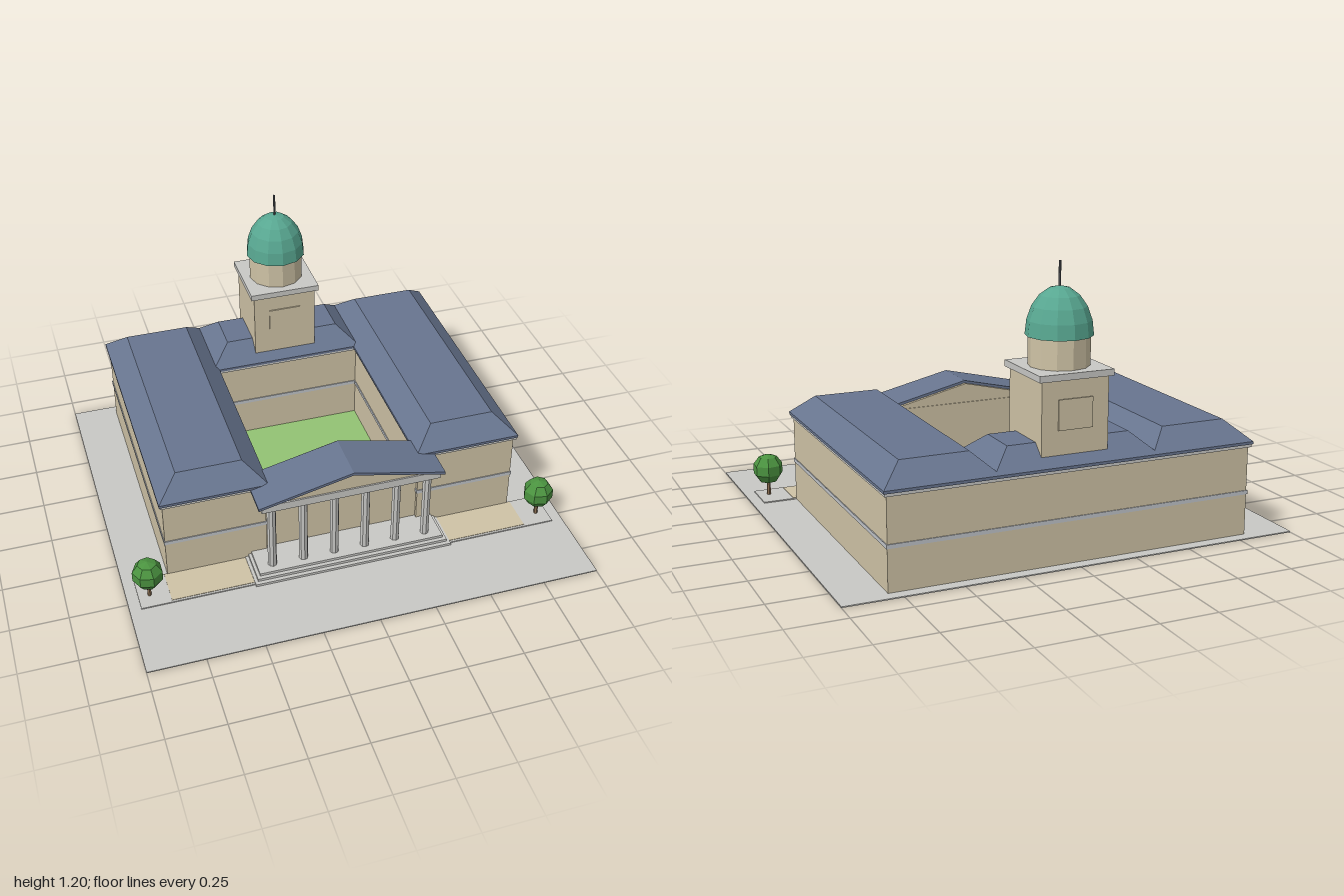
import * as THREE from 'three';

const mat = (name, color) => {
  const m = new THREE.MeshStandardMaterial({ color });
  m.name = name;
  m.flatShading = true;
  return m;
};

export function createModel() {
  const model = new THREE.Group();
  model.name = 'courtyardHall';

  const wall = mat('sandstone', 0xcfc3a6);
  const stone = mat('pale stone', 0xc8c8c5);
  const band = mat('band stone', 0xc0c4c9);
  const slate = mat('slate', 0x68758f);
  const copper = mat('green copper', 0x58a791);
  const grass = mat('grass', 0x93c373);
  const leaf = mat('leaves', 0x4b9340);
  const bark = mat('bark', 0x8b6f52);
  const iron = mat('iron', 0x5a5d62);

  const add = (name, geo, material, x = 0, y = 0, z = 0) => {
    const mesh = new THREE.Mesh(geo, material);
    mesh.name = name;
    mesh.position.set(x, y, z);
    model.add(mesh);
    return mesh;
  };
  // Box given by its limits on each axis
  const box = (name, material, x0, x1, y0, y1, z0, z1) =>
    add(name, new THREE.BoxGeometry(x1 - x0, y1 - y0, z1 - z0), material,
      (x0 + x1) / 2, (y0 + y1) / 2, (z0 + z1) / 2);
  // Upright cylinder from y0 to y1
  const post = (name, material, r, sides, x, y0, y1, z) =>
    add(name, new THREE.CylinderGeometry(r, r, y1 - y0, sides), material, x, (y0 + y1) / 2, z);

  // Flat-topped hip roof with a short vertical eave
  const hipRoof = (name, x0, x1, z0, z1) => {
    const geo = new THREE.BoxGeometry(x1 - x0, 2, z1 - z0, 1, 2, 1);
    const p = geo.attributes.position;
    const inset = 0.095;
    for (let i = 0; i < p.count; i++) {
      const level = Math.round(p.getY(i));
      p.setY(i, [0.403, 0.415, 0.5][level + 1]);
      if (level === 1) {
        p.setX(i, p.getX(i) - Math.sign(p.getX(i)) * inset);
        p.setZ(i, p.getZ(i) - Math.sign(p.getZ(i)) * inset);
      }
    }
    geo.computeVertexNormals();
    add(name, geo, slate, (x0 + x1) / 2, 0, (z0 + z1) / 2);
  };

  // Walls with string course, cornice and roof
  const block = (name, x0, x1, z0, z1, eave) => {
    const ring = (part, m, e, y0, y1) =>
      box(name + part, m, x0 - e, x1 + e, y0, y1, z0 - e, z1 + e);
    ring('Walls', wall, 0, 0, 0.392);
    ring('StringCourse', band, 0.004, 0.183, 0.2);
    ring('Cornice', stone, 0.01, 0.39, 0.404);
    hipRoof(name + 'Roof', x0 - eave, x1 + eave, z0 - eave, z1 + eave);
  };

  // Site
  box('ground', stone, -1, 1, 0, 0.005, -0.9, 0.9);
  box('courtyardLawn', grass, -0.35, 0.35, 0.004, 0.01, -0.51, 0.28);

  // Main building
  block('leftWing', 0.35, 0.8, -0.85, 0.375, 0.015);
  block('rightWing', -0.8, -0.35, -0.85, 0.375, 0.015);
  block('rearWing', -0.35, 0.35, -0.85, -0.505, 0.015);
  box('entranceWall', wall, -0.352, 0.352, 0, 0.4, 0.272, 0.36);

  // Portico steps
  for (let i = 0; i < 3; i++) {
    box('step', stone, -0.45 + i * 0.014, 0.45 - i * 0.014, 0.004 + i * 0.012, 0.016 + i * 0.012,
      0.36, 0.56 - i * 0.018);
  }
  // Six columns with bases and capitals
  for (let i = 0; i < 6; i++) {
    const x = -0.353 + i * 0.1412;
    post('column', stone, 0.02, 8, x, 0.04, 0.366, 0.475);
  }
  box('entablature', stone, -0.402, 0.402, 0.365, 0.402, 0.355, 0.507);

  // Pediment under a thin gabled roof
  const extrude = (points, depth) => new THREE.ExtrudeGeometry(
    new THREE.Shape(points.map(([x, y]) => new THREE.Vector2(x, y))), { depth, bevelEnabled: false });
  add('pediment', extrude([[-0.39, 0.396], [0.39, 0.396], [0, 0.488]], 0.224), wall, 0, 0, 0.276);
  add('porticoRoof', extrude([
    [-0.418, 0.391], [0, 0.487], [0.418, 0.391], [0.418, 0.403], [0, 0.5], [-0.418, 0.403],
  ], 0.23), slate, 0, 0, 0.29);

  // Tower, with a thin raised panel on the front and back
  const tz = -0.676;
  box('tower', wall, -0.147, 0.147, 0.39, 0.757, tz - 0.148, tz + 0.148);
  for (const s of [-1, 1]) {
    add('towerPanel', new THREE.BoxGeometry(0.15, 0.125, 0.008), wall, 0, 0.615, tz + s * 0.15);
  }
  box('towerCornice', stone, -0.163, 0.163, 0.755, 0.782, tz - 0.163, tz + 0.163);
  post('drum', wall, 0.126, 12, 0, 0.78, 0.907, tz);
  const dome = add('dome',
    new THREE.SphereGeometry(0.138, 12, 5, 0, Math.PI * 2, 0, Math.PI / 2), copper, 0, 0.903, tz);
  dome.scale.y = 0.198 / 0.138;
  const soffit = add('domeSoffit', new THREE.CircleGeometry(0.138, 12), copper, 0, 0.903, tz);
  soffit.rotation.x = Math.PI / 2;
  post('spire', iron, 0.005, 6, 0, 1.09, 1.2, tz);

  // Fountain
  const fz = -0.07;
  const ringProfile = (inner, outer, h) => new THREE.LatheGeometry(
    [[outer, 0], [outer, h], [inner, h], [inner, 0]].map(([x, y]) => new THREE.Vector2(x, y)), 20);
  add('fountainRim', ringProfile(0.074, 0.088, 0.035), stone, 0, 0.005, fz);
  post('fountainWater', slate, 0.076, 20, 0, 0.005, 0.03, fz);
  add('fountainInnerRing', ringProfile(0.027, 0.034, 0.06), stone, 0, 0.005, fz);
  post('fountainInnerWater', slate, 0.028, 12, 0, 0.005, 0.058, fz);

  // Front beds and trees on both sides
  for (const s of [-1, 1]) {
    const span = (a, b) => (s > 0 ? [a, b] : [-b, -a]);
    box('bedKerb', stone, ...span(0.43, 0.95), 0.004, 0.01, 0.37, 0.547);
    box('bedSurface', wall, ...span(0.45, 0.815), 0.008, 0.012, 0.372, 0.537);
    post('treeTrunk', bark, 0.009, 6, s * 0.9, 0.005, 0.09, 0.475);
    add('treeCrown', new THREE.SphereGeometry(0.07, 7, 5), leaf, s * 0.9, 0.133, 0.475);
  }

  return model;
}
